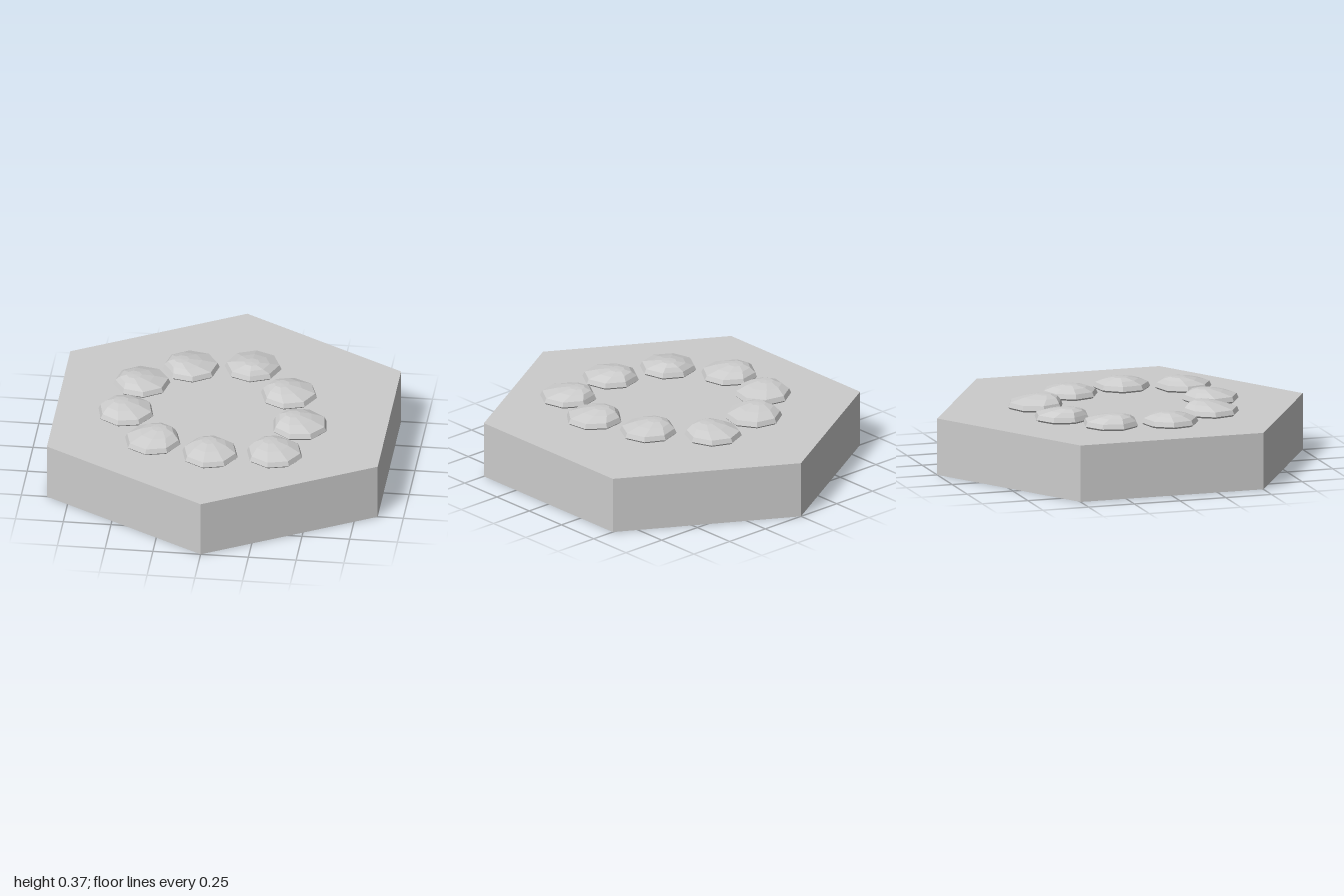
import * as THREE from 'three';

const stoneGrey = new THREE.MeshStandardMaterial({ color: 0xcccccc, flatShading: true });
stoneGrey.name = 'stoneGrey';

// Each pebble: centre x, z, clockwise turn in degrees, crown shift in x, z
const PEBBLES = [
  [0.10, -0.43, 0, 0.0, 0.05],
  [-0.22, -0.39, 35, -0.05, 0.02],
  [-0.455, -0.20, 35, -0.04, 0.02],
  [-0.50, 0.11, 10, -0.03, -0.02],
  [-0.325, 0.39, 8, 0.03, -0.04],
  [-0.013, 0.49, 8, -0.01, -0.04],
  [0.32, 0.45, 8, -0.03, -0.04],
  [0.415, 0.145, 15, -0.04, -0.02],
  [0.32, -0.17, 5, -0.04, -0.01],
];

// Radius and height of the eight-sided pebble
const PROFILE = [[0, 0], [0.138, 0], [0.149, 0.01], [0.138, 0.034], [0.09, 0.056], [0.04, 0.069], [0, 0.071]]
  .map(([r, y]) => new THREE.Vector2(r, y));

function pebbleGeometry(turn, dx, dz) {
  const geo = new THREE.LatheGeometry(PROFILE, 8, -THREE.MathUtils.degToRad(turn));
  const p = geo.attributes.position;
  // Lean the crown off centre above the rim
  for (let i = 0; i < p.count; i++) {
    const t = Math.max(0, (p.getY(i) - 0.034) / 0.037);
    p.setX(i, p.getX(i) + dx * t);
    p.setZ(i, p.getZ(i) + dz * t);
  }
  geo.computeVertexNormals();
  return geo;
}

export function createModel() {
  const model = new THREE.Group();
  model.name = 'hexTileWithStoneRing';

  // Hexagonal slab with points to the front and back
  const slab = new THREE.Mesh(new THREE.CylinderGeometry(1, 1, 0.3, 6), stoneGrey);
  slab.name = 'hexSlab';
  slab.position.y = 0.15;
  model.add(slab);

  // Loose ring of pebbles
  const ring = new THREE.Group();
  ring.name = 'stoneRing';
  PEBBLES.forEach(([x, z, turn, dx, dz], i) => {
    const pebble = new THREE.Mesh(pebbleGeometry(turn, dx, dz), stoneGrey);
    pebble.name = `pebble${i + 1}`;
    pebble.position.set(x, 0.3, z);
    ring.add(pebble);
  });
  model.add(ring);
  return model;
}
